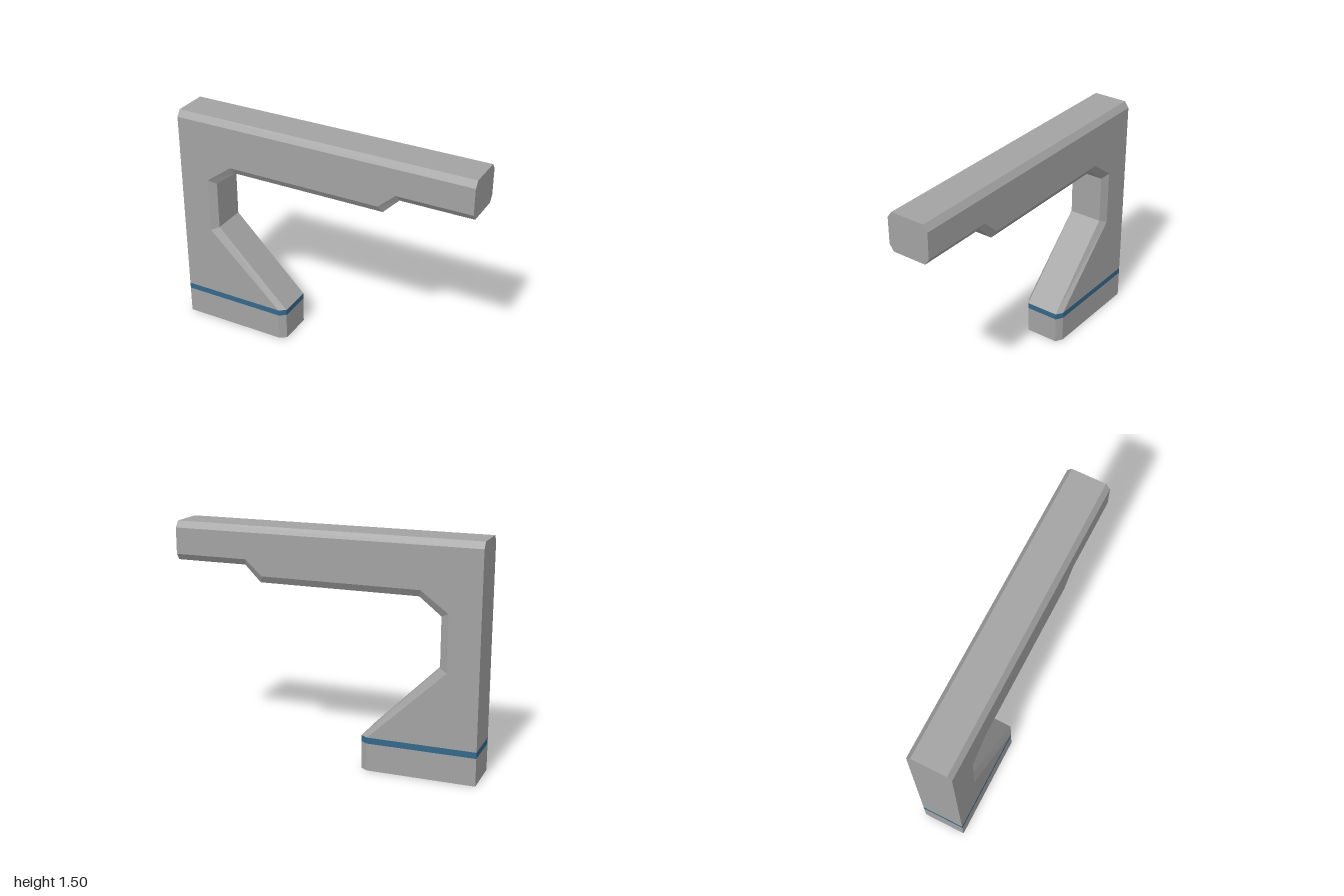
import * as THREE from 'three';

const SIDE_Z = 0.142; // half width at the flat sides
const RIM_Z = 0.113;  // half width at the bevelled rim

// Hollow band of the bracket. Each point is [rimX, rimY, sideX, sideY], counter-clockwise;
// the gap between the last and first point stays open.
function shell(points) {
  const pos = [];
  const rings = points.map(([rx, ry, sx, sy]) => [
    [sx, sy, SIDE_Z], [rx, ry, RIM_Z], [rx, ry, -RIM_Z], [sx, sy, -SIDE_Z],
  ]);
  const tri = (a, b, c) => pos.push(...a, ...b, ...c);

  // Bevel, rim, bevel along every edge
  for (let i = 0; i < rings.length - 1; i++) {
    const a = rings[i], b = rings[i + 1];
    for (let k = 0; k < 3; k++) {
      tri(a[k], a[k + 1], b[k + 1]);
      tri(a[k], b[k + 1], b[k]);
    }
  }

  // Flat front and back sides
  const outline = points.map((p) => new THREE.Vector2(p[2], p[3]));
  for (const [a, b, c] of THREE.ShapeUtils.triangulateShape(outline, [])) {
    tri(rings[a][0], rings[b][0], rings[c][0]);
    tri(rings[c][3], rings[b][3], rings[a][3]);
  }

  const geometry = new THREE.BufferGeometry();
  geometry.setAttribute('position', new THREE.Float32BufferAttribute(pos, 3));
  geometry.computeVertexNormals();
  return geometry;
}

// Straight section of the foot between two heights, built as two open runs
const footBand = (y0, y1) => shell([
  [-0.255, y0, -0.3, y0],
  [-0.255, y1, -0.3, y1],
]).name, footX = -0.255, footSideX = -0.3;

function footSection(y0, y1) {
  const pos = [];
  // Plan of the foot, walked around its four walls
  const plan = [
    [-1, SIDE_Z], [footSideX, SIDE_Z], [footX, RIM_Z],
    [footX, -RIM_Z], [footSideX, -SIDE_Z], [-1, -SIDE_Z],
  ];
  plan.forEach(([x0, z0], i) => {
    const [x1, z1] = plan[(i + 1) % plan.length];
    pos.push(x0, y0, z0, x1, y0, z1, x1, y1, z1);
    pos.push(x0, y0, z0, x1, y1, z1, x0, y1, z0);
  });
  const geometry = new THREE.BufferGeometry();
  geometry.setAttribute('position', new THREE.Float32BufferAttribute(pos, 3));
  geometry.computeVertexNormals();
  return geometry;
}

export function createModel() {
  const group = new THREE.Group();
  group.name = 'bracket';

  const grey = new THREE.MeshStandardMaterial({ color: 0xa3a3a3, side: THREE.DoubleSide });
  grey.name = 'grey';
  const blue = new THREE.MeshStandardMaterial({ color: 0x32688a, side: THREE.DoubleSide });
  blue.name = 'blue';

  const add = (name, geometry, material) => {
    const mesh = new THREE.Mesh(geometry, material);
    mesh.name = name;
    group.add(mesh);
  };

  // Foot, open underneath, with a painted band around it
  add('foot', footSection(0, 0.18), grey);
  add('footStripe', footSection(0.18, 0.22), blue);

  // Sloped brace, post and stepped arm
  add('postAndArm', shell([
    [footX, 0.22, footSideX, 0.22],
    [-0.75, 0.715, -0.8, 0.695],
    [-0.75, 1.035, -0.8, 1.06],
    [-0.61, 1.145, -0.625, 1.19],
    [0.425, 1.145, 0.405, 1.19],
    [0.53, 1.25, 0.515, 1.29],
    [1, 1.25, 1, 1.29],
    [1, 1.5, 1, 1.46],
    [-1, 1.5, -1, 1.46],
    [-1, 0.22, -1, 0.22],
  ]), grey);

  return group;
}
